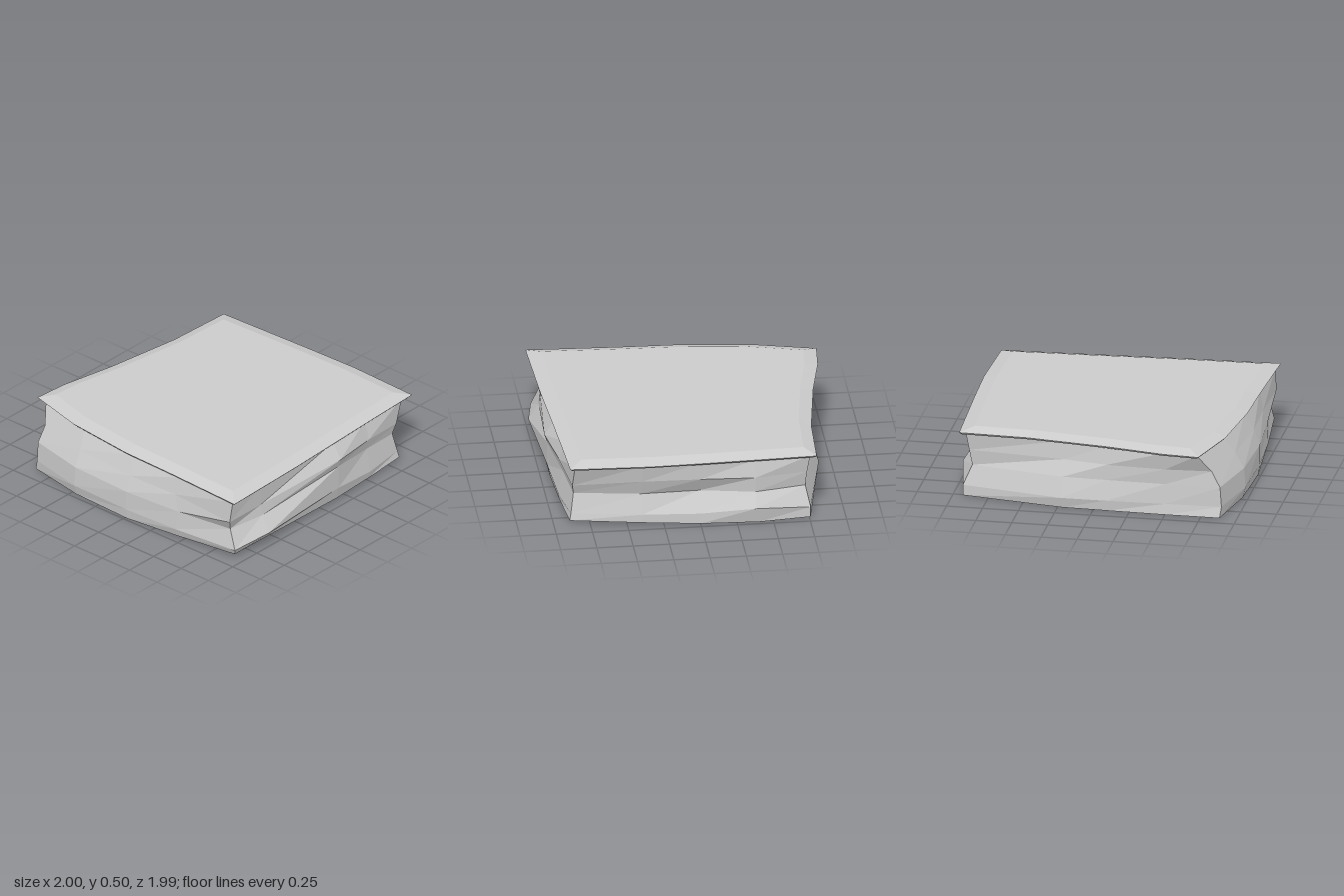
import * as THREE from 'three';

// Closed faceted loft through rings of [x, y, z], listed from bottom to top.
function loft(name, rings) {
  const n = rings[0].length, pos = [];
  const tri = (a, b, c) => pos.push(...a, ...b, ...c);
  for (let k = 0; k < rings.length - 1; k++) {
    for (let i = 0; i < n; i++) {
      const j = (i + 1) % n, lo = rings[k], hi = rings[k + 1];
      tri(lo[i], lo[j], hi[j]);
      tri(lo[i], hi[j], hi[i]);
    }
  }
  const centre = (r) => [0, 1, 2].map((a) => r.reduce((s, p) => s + p[a], 0) / n);
  const first = rings[0], last = rings[rings.length - 1];
  for (let i = 0; i < n; i++) {
    const j = (i + 1) % n;
    tri(centre(first), first[j], first[i]);
    tri(centre(last), last[i], last[j]);
  }
  const geo = new THREE.BufferGeometry();
  geo.setAttribute('position', new THREE.Float32BufferAttribute(pos, 3));
  geo.computeVertexNormals();
  const mesh = new THREE.Mesh(geo, new THREE.MeshStandardMaterial({ color: 0xcccccc, flatShading: true }));
  mesh.name = name;
  return mesh;
}

// Places an outline of [x, z] (optionally [x, z, y]) at height y, scaled in plan.
const ring = (outline, y, s = 1) => outline.map(([x, z, own]) => [x * s, own ?? y, z * s]);

// Stone outlines: front (left to right), right side, back, left side.
const foot = [
  [-0.9, 0.88], [-0.46, 0.96], [0.02, 0.98], [0.45, 0.95, 0.02],
  [0.93, 0.9, 0.035], [0.95, 0.62, 0.05], [0.94, -0.14, 0.03], [0.92, -0.5, 0.03],
  [0.89, -0.85, 0.03], [0.4, -0.92, 0.02], [0, -0.95], [-0.4, -0.97],
  [-0.76, -0.93], [-0.88, -0.22], [-0.89, 0.09], [-0.9, 0.5],
];
const lower = [
  [-0.88, 0.89], [-0.46, 0.98], [0.02, 0.99], [0.45, 0.97],
  [0.95, 0.92], [1, 0.62, 0.11], [0.96, -0.14, 0.12], [0.93, -0.5],
  [0.88, -0.84], [0.4, -0.92], [0, -0.95], [-0.38, -1, 0.12],
  [-0.76, -0.93], [-0.9, -0.22], [-0.9, 0.09], [-0.89, 0.5],
];
const waist = [
  [-0.88, 0.88], [-0.46, 0.97], [0.02, 0.99], [0.47, 0.96],
  [0.89, 0.9], [0.93, 0.62], [0.96, -0.14, 0.29], [0.9, -0.5, 0.25],
  [0.86, -0.81], [0.4, -0.88], [0, -0.87], [-0.38, -0.94],
  [-0.73, -0.87], [-0.86, -0.22], [-0.87, 0.09], [-0.88, 0.5],
];
const upper = [
  [-0.87, 0.82], [-0.47, 0.91], [0.02, 0.95], [0.42, 0.94],
  [0.92, 0.94, 0.3], [0.92, 0.62, 0.3], [0.98, -0.14, 0.35], [0.92, -0.5],
  [0.87, -0.84, 0.29], [0.4, -0.92], [0, -0.93], [-0.38, -0.95],
  [-0.74, -0.89], [-0.81, -0.22], [-0.87, 0.09], [-0.89, 0.5],
];
const neck = [
  [-0.94, 0.73], [-0.5, 0.83], [0, 0.89], [0.45, 0.91],
  [0.94, 0.93], [0.93, 0.62], [0.91, -0.14], [0.88, -0.5],
  [0.86, -0.91], [0.4, -0.95], [0, -0.94], [-0.38, -0.93],
  [-0.76, -0.91], [-0.8, -0.22], [-0.85, 0.09], [-0.92, 0.5],
];

// Overhanging slab outline in the same order.
const slab = [
  [-1, 0.75], [-0.58, 0.86], [-0.04, 0.92], [0.34, 0.93],
  [0.98, 0.96], [0.96, 0.3], [0.92, -0.5],
  [0.9, -0.97], [0.35, -0.99], [-0.02, -0.98],
  [-0.8, -0.95], [-0.82, -0.47], [-0.9, 0.1], [-0.98, 0.5],
];

export function createModel() {
  const model = new THREE.Group();
  model.name = 'stoneBlock';
  // Rough rock body
  model.add(loft('rockBody', [
    ring(foot, 0.005), ring(lower, 0.08), ring(waist, 0.22), ring(upper, 0.33), ring(neck, 0.46),
  ]));
  // Thin bevelled top slab
  model.add(loft('topSlab', [ring(slab, 0.457, 0.985), ring(slab, 0.472), ring(slab, 0.5, 0.9)]));
  return model;
}
